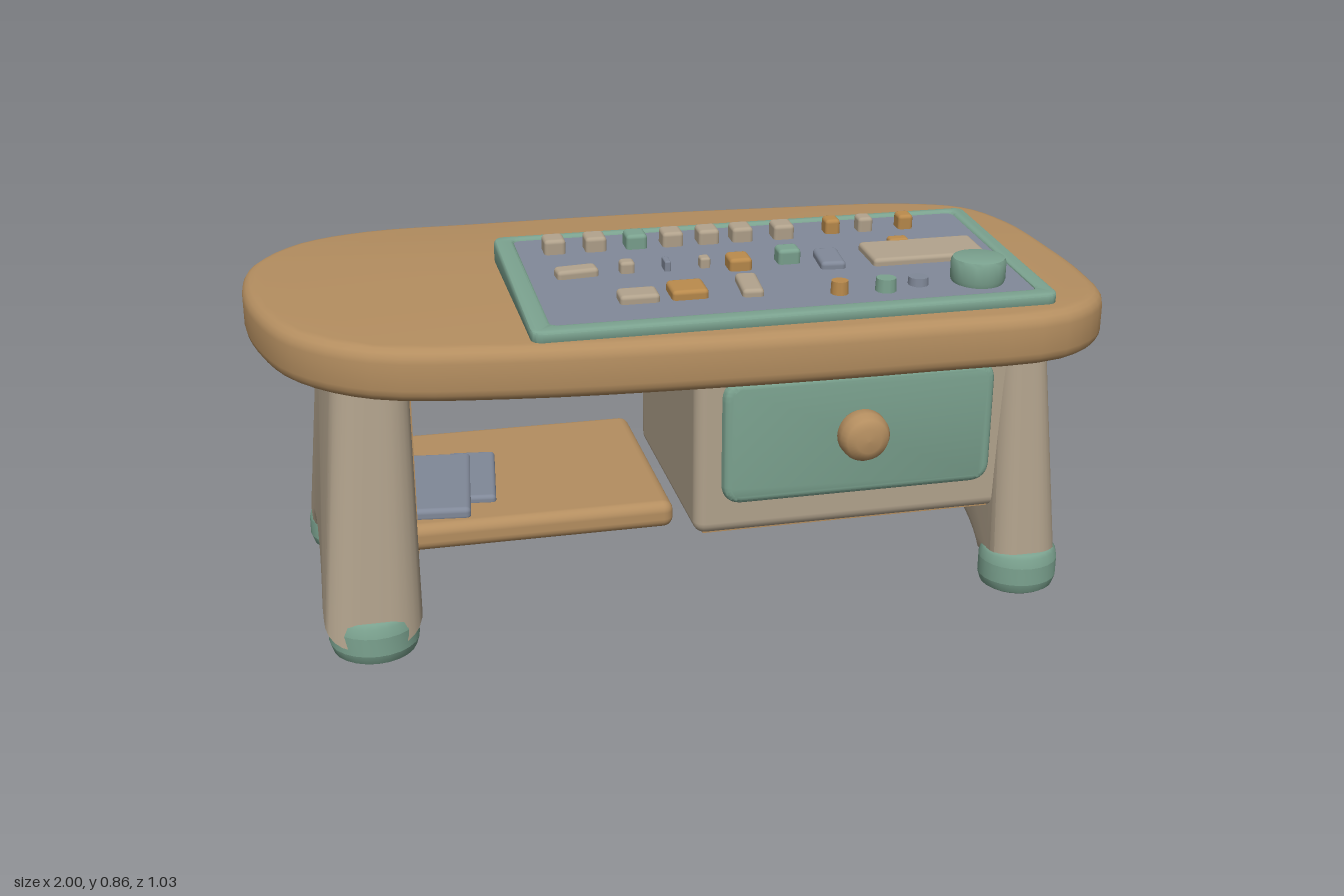
import * as THREE from 'three';
import { toCreasedNormals } from 'three/addons/utils/BufferGeometryUtils.js';
import { RoundedBoxGeometry } from 'three/addons/geometries/RoundedBoxGeometry.js';

const mat = (name, color) => Object.assign(new THREE.MeshStandardMaterial({ color }), { name });

export function createModel() {
  const root = new THREE.Group();
  root.name = 'deskWithConsole';
  const wood = mat('wood', 0xb48e60), beige = mat('beige', 0xb1a28c), green = mat('sage green', 0x7ba28f);
  const slate = mat('slate', 0x808898), amber = mat('amber', 0xb98a4c);

  const add = (name, geo, material, x = 0, y = 0, z = 0, parent = root) => {
    const m = new THREE.Mesh(geo, material);
    m.name = name;
    m.position.set(x, y, z);
    parent.add(m);
    return m;
  };
  // Box given by its min and max on each axis
  const block = (name, material, [x0, x1], [y0, y1], [z0, z1], r = 0) => {
    const s = [x1 - x0, y1 - y0, z1 - z0];
    const geo = r ? new RoundedBoxGeometry(...s, 3, r) : new THREE.BoxGeometry(...s);
    return add(name, geo, material, (x0 + x1) / 2, (y0 + y1) / 2, (z0 + z1) / 2);
  };
  const bevelled = (shape, thick, bevel, segments = 4) => new THREE.ExtrudeGeometry(shape, {
    depth: thick - 2 * bevel, bevelSize: bevel, bevelThickness: bevel, bevelOffset: -bevel,
    bevelSegments: segments, curveSegments: 16,
  }).translate(0, 0, bevel);
  // Lay a shape drawn in (x, z) flat, with its underside at y = 0
  const flat = (geo, thick) => geo.rotateX(Math.PI / 2).translate(0, thick, 0);
  const warp = (geo, rule) => {
    const p = geo.attributes.position, v = new THREE.Vector3();
    for (let i = 0; i < p.count; i++) {
      rule(v.fromBufferAttribute(p, i));
      p.setXYZ(i, v.x, v.y, v.z);
    }
    return toCreasedNormals(geo, 0.6);
  };
  const roundRect = (x0, x1, y0, y1, r, Type = THREE.Shape) => {
    const s = new Type();
    s.moveTo(x0 + r, y0);
    s.lineTo(x1 - r, y0); s.quadraticCurveTo(x1, y0, x1, y0 + r);
    s.lineTo(x1, y1 - r); s.quadraticCurveTo(x1, y1, x1 - r, y1);
    s.lineTo(x0 + r, y1); s.quadraticCurveTo(x0, y1, x0, y1 - r);
    s.lineTo(x0, y0 + r); s.quadraticCurveTo(x0, y0, x0 + r, y0);
    return s;
  };

  // Tabletop: soft asymmetric outline (x, z)
  const outline = [
    [-0.68, -0.51], [-0.4, -0.517], [0, -0.517], [0.4, -0.495], [0.75, -0.46], [0.92, -0.38], [0.985, -0.22],
    [1, 0], [0.995, 0.22], [0.96, 0.39], [0.83, 0.495], [0.5, 0.51], [0, 0.5], [-0.45, 0.465], [-0.74, 0.4],
    [-0.9, 0.26], [-0.975, 0.07], [-1, -0.14], [-0.975, -0.29], [-0.86, -0.44],
  ].map(([x, z]) => new THREE.Vector3(x, z, 0));
  const pts = new THREE.CatmullRomCurve3(outline, true).getPoints(80).slice(0, -1);
  const topShape = new THREE.Shape(pts.map((p) => new THREE.Vector2(p.x, p.y)));
  add('tabletop', toCreasedNormals(flat(bevelled(topShape, 0.125, 0.032), 0.125), 0.6), wood, 0, 0.65, 0);

  // Arched side panels, splayed outward toward the floor
  const side = new THREE.Shape();
  side.moveTo(-0.385, 0.04);
  side.lineTo(-0.33, 0.72);
  side.lineTo(0.315, 0.72);
  side.lineTo(0.365, 0.04);
  side.lineTo(0.23, 0.04);
  side.bezierCurveTo(0.16, 0.147, -0.16, 0.147, -0.235, 0.04);
  side.closePath();
  const sidePanel = (name, s, inner, outerTop, outerBottom) => {
    const geo = bevelled(side, 1, 0.06, 6);
    // Remap the unit thickness so the rounding takes up about a third on each face
    const round = (t) => (t < 0.06 ? (t / 0.06) * 0.35 : t > 0.94 ? 1 - ((1 - t) / 0.06) * 0.35
      : 0.35 + ((t - 0.06) / 0.88) * 0.3);
    geo.rotateY(Math.PI / 2);
    add(name, warp(geo, (v) => {
      const t = round(s > 0 ? v.x : 1 - v.x);
      const outer = THREE.MathUtils.lerp(outerBottom, outerTop, v.y / 0.65);
      v.x = s * (inner + t * (outer - inner));
    }), beige);
  };
  sidePanel('leftSidePanel', 1, 0.745, 0.87, 0.925);
  sidePanel('rightSidePanel', -1, 0.65, 0.825, 0.885);
  block('rightPanelInnerFace', wood, [-0.652, -0.645], [0.21, 0.66], [-0.25, 0.26]);
  const trim = block('leftPanelTopTrim', wood, [0.868, 0.875], [0.61, 0.66], [-0.27, 0.08]);
  trim.rotation.z = 0.085;

  // Foot caps
  const footProfile = [[0, 0], [0.8, 0], [0.93, 0.008], [1, 0.03], [1, 0.075], [0.95, 0.097], [0.85, 0.104], [0, 0.104]]
    .map(([r, y]) => new THREE.Vector2(r, y));
  const footGeo = toCreasedNormals(new THREE.LatheGeometry(footProfile, 24), 0.7);
  for (const [x, z, rx, rz] of [[0.83, 0.318, 0.097, 0.09], [0.83, -0.288, 0.097, 0.088],
    [-0.762, 0.3, 0.105, 0.105], [-0.772, -0.285, 0.11, 0.09]]) {
    add('foot', footGeo, green, x, 0, z).scale.set(rx, 1, rz);
  }

  // Cabinet with one drawer
  block('cabinet', beige, [0, 0.8], [0.213, 0.69], [-0.285, 0.325], 0.03);
  block('cabinetBottom', wood, [0.025, 0.745], [0.209, 0.216], [-0.26, 0.3]);
  block('cabinetTopTrim', wood, [-0.003, 0.79], [0.618, 0.66], [-0.288, 0.328]);
  const drawer = bevelled(roundRect(0.063, 0.727, 0.297, 0.605, 0.05), 0.06, 0.018);
  add('drawerFront', toCreasedNormals(drawer, 0.6), green, 0, 0, 0.288);
  const knobProfile = [[0, 0.085], [0.03, 0.083], [0.05, 0.074], [0.06, 0.055], [0.061, 0.03], [0.052, 0.012], [0.04, 0]]
    .reverse().map(([r, y]) => new THREE.Vector2(r, y));
  add('drawerKnob', new THREE.LatheGeometry(knobProfile, 28).rotateX(Math.PI / 2), wood, 0.39, 0.463, 0.34);

  // Low shelf with two folded cloths
  block('shelf', wood, [-0.68, -0.04], [0.222, 0.288], [-0.28, 0.285], 0.025);
  block('cloth', slate, [-0.655, -0.5], [0.28, 0.312], [-0.08, 0.25], 0.012).rotation.y = -0.12;
  block('cloth', slate, [-0.55, -0.435], [0.28, 0.305], [-0.09, 0.18], 0.01).rotation.y = -0.12;

  // Sloping control console
  const consoleGroup = new THREE.Group();
  consoleGroup.name = 'console';
  root.add(consoleGroup);
  const topAt = (z) => 0.824 - 0.054 * z;
  const slope = (geo, drop) => warp(geo, (v) => {
    v.y = 0.77 + (v.y / 0.05) * (topAt(v.z) - drop - 0.77);
  });
  const frame = roundRect(-0.393, 0.825, -0.175, 0.445, 0.03);
  frame.holes.push(roundRect(-0.345, 0.785, -0.145, 0.405, 0.02, THREE.Path));
  add('consoleFrame', slope(flat(bevelled(frame, 0.05, 0.01, 3), 0.05), 0), green, 0, 0, 0, consoleGroup);
  const deck = new THREE.BoxGeometry(1.17, 0.05, 0.58).translate(0.22, 0.025, 0.13);
  add('consoleDeck', slope(deck, 0.006), slate, 0, 0, 0, consoleGroup);

  const button = (material, x, z, w, d, h, turn = 0) => {
    const geo = new RoundedBoxGeometry(w, h + 0.015, d, 2, Math.min(0.01, w / 4, d / 4));
    const m = add('button', geo, material, x, topAt(z) - 0.006 + (h - 0.015) / 2, z, consoleGroup);
    m.rotation.set(0.054, turn, 0);
  };
  // Back row
  [-0.26, -0.16, -0.06, 0.03, 0.12, 0.205, 0.31, 0.44, 0.525, 0.63].forEach((x, i) => {
    const small = i > 6;
    const w = small ? 0.038 : 0.052;
    button(i === 2 ? green : i === 7 || i === 9 ? amber : beige, x, small ? -0.073 : -0.064, w, w + 0.006, 0.036);
  });
  // Middle row
  button(beige, -0.235, 0.106, 0.1, 0.045, 0.02, 0.1);
  button(beige, -0.115, 0.104, 0.035, 0.035, 0.028);
  button(slate, -0.02, 0.105, 0.015, 0.04, 0.025);
  button(beige, 0.072, 0.105, 0.025, 0.03, 0.025);
  button(amber, 0.15, 0.125, 0.055, 0.06, 0.03);
  button(green, 0.275, 0.108, 0.055, 0.05, 0.036);
  button(slate, 0.372, 0.132, 0.06, 0.105, 0.018, -0.08);
  button(beige, 0.61, 0.122, 0.285, 0.128, 0.018);
  button(amber, 0.57, 0.056, 0.05, 0.03, 0.022);
  // Front row
  button(beige, -0.125, 0.28, 0.092, 0.06, 0.02);
  button(amber, -0.008, 0.268, 0.085, 0.08, 0.022);
  button(beige, 0.14, 0.262, 0.05, 0.115, 0.018, -0.08);
  for (const [material, x, z, r, h] of [[amber, 0.335, 0.33, 0.022, 0.03], [green, 0.445, 0.333, 0.026, 0.03],
    [slate, 0.532, 0.31, 0.026, 0.018]]) {
    add('smallKnob', new THREE.CylinderGeometry(r * 0.9, r, h + 0.02, 12), material,
      x, topAt(z) - 0.006 + (h - 0.02) / 2, z, consoleGroup);
  }
  const dialProfile = [[0.06, 0], [0.064, 0.012], [0.064, 0.052], [0.06, 0.06], [0.05, 0.063], [0, 0.063]]
    .map(([r, y]) => new THREE.Vector2(r, y));
  add('dial', toCreasedNormals(new THREE.LatheGeometry(dialProfile, 28), 0.7), green, 0.677, 0.797, 0.312, consoleGroup);

  return root;
}
